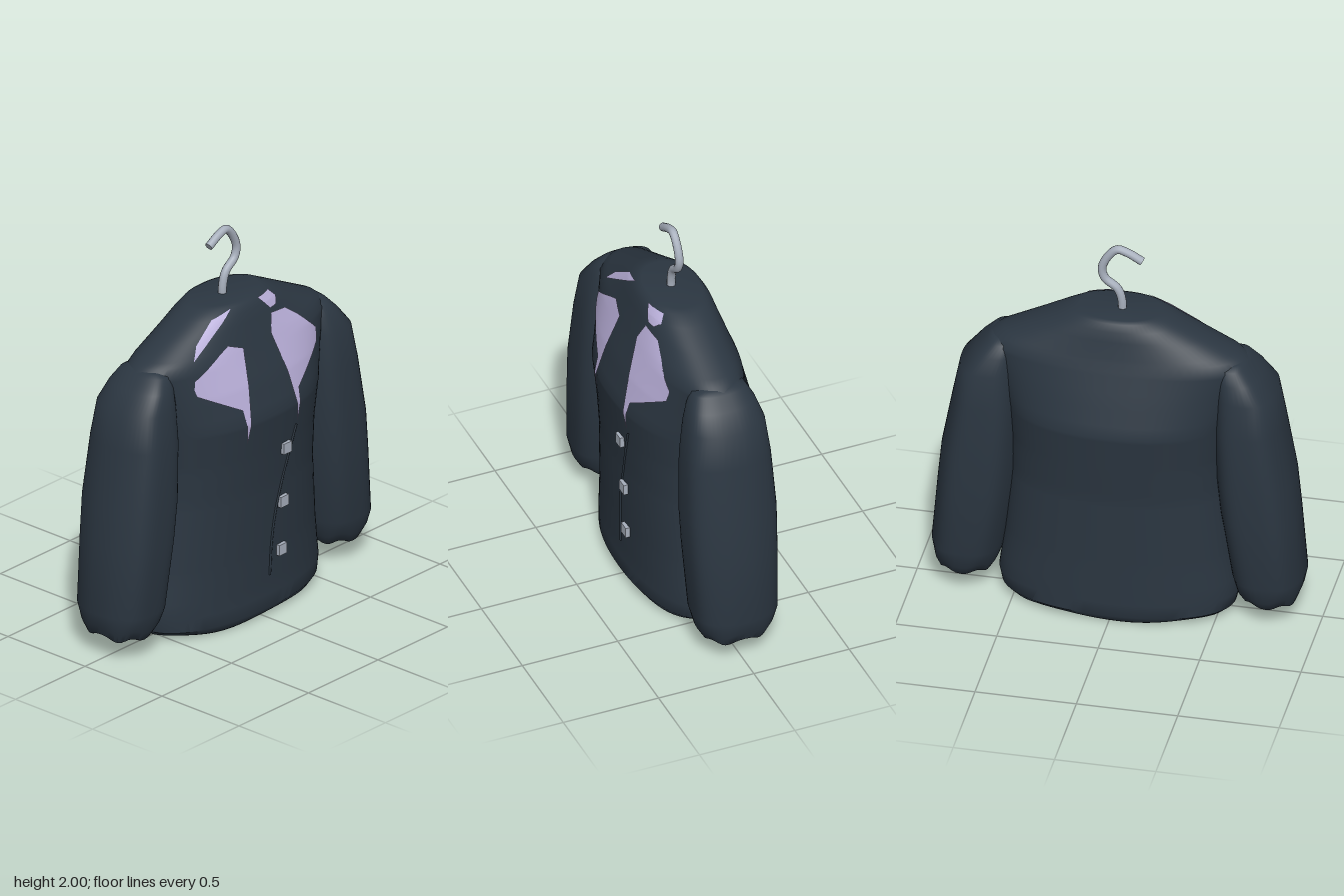
import * as THREE from 'three';
import { toCreasedNormals } from 'three/addons/utils/BufferGeometryUtils.js';

const mat = (name, color, side = THREE.FrontSide) => {
  const m = new THREE.MeshStandardMaterial({ color, side });
  m.name = name;
  return m;
};

// Interpolate the columns of a table whose first column is height
function sample(table, y) {
  if (y <= table[0][0]) return table[0];
  for (let i = 1; i < table.length; i++) {
    const a = table[i - 1], b = table[i];
    if (y <= b[0]) return a.map((v, k) => v + (b[k] - v) * (y - a[0]) / (b[0] - a[0]));
  }
  return table[table.length - 1];
}

// Skin a list of closed rings, each a function of angle, from bottom to top
function loft(rings, n, crease) {
  const pos = [], idx = [];
  rings.forEach((ring, i) => {
    for (let j = 0; j < n; j++) {
      pos.push(...ring(j / n * Math.PI * 2));
      if (i === rings.length - 1) continue;
      const a = i * n + j, b = i * n + (j + 1) % n;
      idx.push(a, a + n, b, b, a + n, b + n);
    }
  });
  const g = new THREE.BufferGeometry();
  g.setAttribute('position', new THREE.Float32BufferAttribute(pos, 3));
  g.setIndex(idx);
  return toCreasedNormals(g, crease);
}

// Torso: height, half width, front depth, back depth
const TORSO = [
  [0.01, 0.53, 0.26, 0.26], [0.05, 0.575, 0.28, 0.285], [0.12, 0.59, 0.275, 0.285],
  [0.35, 0.56, 0.28, 0.285], [0.7, 0.53, 0.295, 0.29], [0.9, 0.53, 0.312, 0.312],
  [1.1, 0.55, 0.333, 0.333], [1.28, 0.6, 0.285, 0.277], [1.42, 0.655, 0.235, 0.23],
  [1.46, 0.61, 0.222, 0.215], [1.54, 0.45, 0.195, 0.19], [1.61, 0.31, 0.172, 0.17],
  [1.645, 0.24, 0.15, 0.15], [1.655, 0.2, 0.13, 0.13],
];
const P = 2.2;
const frontZ = (x, y) => {
  const [, w, f] = sample(TORSO, y);
  return f * Math.pow(Math.max(0, 1 - Math.pow(Math.abs(x) / w, P)), 1 / P);
};
const spow = (v, e) => Math.sign(v) * Math.pow(Math.abs(v), e);

function torsoGeometry() {
  const ring = (y, s = 1, wave = 0) => t => {
    const [, w, f, b] = sample(TORSO, y);
    const sn = Math.sin(t);
    return [s * w * spow(Math.cos(t), 2 / P), y + wave * (1 + Math.sin(5 * t + 0.8)),
      s * (sn > 0 ? f : b) * spow(sn, 2 / P)];
  };
  const rings = [ring(0.04, 0.001), ring(0.03, 0.85), ring(0.002, 0.96, 0.006), ring(0.012, 1, 0.006)];
  const heights = new Set(TORSO.map(r => r[0]).slice(1));
  for (let y = 0.2; y < 1.64; y += 0.08) heights.add(y);
  [...heights].sort((a, b) => a - b).forEach(y => rings.push(ring(y)));
  rings.push(ring(1.65, 0.001));
  return loft(rings, 72, 0.7);
}

// Sleeve: height, inner x, outer x, half depth
const SLEEVE = [
  [0.12, 0.615, 0.885, 0.165], [0.17, 0.585, 0.905, 0.195], [0.25, 0.56, 0.92, 0.215],
  [0.6, 0.505, 0.89, 0.23], [0.8, 0.485, 0.87, 0.235], [1.1, 0.475, 0.815, 0.222],
  [1.28, 0.48, 0.78, 0.2], [1.37, 0.485, 0.705, 0.17], [1.43, 0.49, 0.645, 0.135],
];
function sleeveGeometry(side) {
  const ring = (y, s = 1, wave = 0, lift = 0) => angle => {
    const t = side > 0 ? angle : Math.PI - angle;   // keeps the winding on the mirrored side
    const [, xi, xo, d] = sample(SLEEVE, y);
    const fold = 1 - 0.03 * (1 - Math.cos(6 * t)) * Math.min(1, (1.5 - y) * 2) / 2;
    const x = (xi + xo) / 2 + s * (xo - xi) / 2 * spow(Math.cos(t), 0.8) * fold;
    return [side * x, y + lift + wave * Math.cos(6 * t), s * d * spow(Math.sin(t), 0.8) * fold];
  };
  // mirrored angles already reverse x, so both sides share one winding
  const rings = [ring(0.12, 0.001, 0, 0.06), ring(0.12, 0.8, 0.01, 0.03), ring(0.12, 0.94, 0.012, -0.003)];
  SLEEVE.forEach(r => rings.push(ring(r[0], 1, r[0] < 0.2 ? 0.012 : 0)));
  rings.push(ring(1.43, 0.7, 0, 0.018), ring(1.43, 0.001, 0, 0.025));
  return loft(rings, 48, 0.8);
}

// Thin patch draped over the front of the torso
function patchGeometry(points) {
  const flat = new THREE.ShapeGeometry(new THREE.Shape(points.map(p => new THREE.Vector2(...p)))).toNonIndexed();
  const p = flat.attributes.position, out = [];
  const split = (a, b, c, level) => {
    if (!level) {
      for (const v of [a, b, c]) out.push(v.x, v.y, frontZ(v.x, v.y) + 0.007);
      return;
    }
    const mid = (u, v) => u.clone().lerp(v, 0.5);
    const ab = mid(a, b), bc = mid(b, c), ca = mid(c, a);
    [[a, ab, ca], [ab, b, bc], [ca, bc, c], [ab, bc, ca]].forEach(tri => split(...tri, level - 1));
  };
  for (let i = 0; i < p.count; i += 3) {
    split(...[0, 1, 2].map(k => new THREE.Vector3().fromBufferAttribute(p, i + k)), 4);
  }
  const g = new THREE.BufferGeometry();
  g.setAttribute('position', new THREE.Float32BufferAttribute(out, 3));
  return toCreasedNormals(g, 0.7);
}

const PATCHES = {
  rightLapel: [[-0.44, 1.34], [-0.43, 1.385], [-0.26, 1.47], [-0.2, 1.495], [-0.11, 1.46],
    [-0.125, 1.36], [-0.15, 1.2], [-0.18, 1.0], [-0.2, 1.18], [-0.43, 1.305]],
  leftLapel: [[0.09, 1.47], [0.125, 1.555], [0.24, 1.54], [0.32, 1.48], [0.44, 1.37],
    [0.43, 1.31], [0.2, 1.17], [0.18, 1.0], [0.14, 1.26]],
  rightCollar: [[-0.41, 1.47], [-0.36, 1.53], [-0.23, 1.615], [-0.11, 1.645], [-0.2, 1.59], [-0.32, 1.52]],
  leftCollar: [[0.07, 1.643], [0.18, 1.64], [0.21, 1.605], [0.18, 1.575], [0.13, 1.575]],
};

export function createModel() {
  const model = new THREE.Group();
  const cloth = mat('darkCloth', 0x2b3641);
  const lilac = mat('lilacLining', 0xb9afd9, THREE.DoubleSide);
  const metal = mat('paleMetal', 0xa6aebb);
  const add = (name, geometry, material) => {
    const mesh = new THREE.Mesh(geometry, material);
    mesh.name = name;
    model.add(mesh);
    return mesh;
  };
  const curve = pts => new THREE.CatmullRomCurve3(pts.map(p => new THREE.Vector3(...p)));

  add('jacketBody', torsoGeometry(), cloth);
  add('leftSleeve', sleeveGeometry(1), cloth);
  add('rightSleeve', sleeveGeometry(-1), cloth);
  for (const [name, points] of Object.entries(PATCHES)) add(name, patchGeometry(points), lilac);

  // Overlapping front edge
  const edge = [[0.18, 0.98], [0.14, 0.86], [0.09, 0.7], [0.05, 0.55], [0.03, 0.4], [0.022, 0.22]];
  add('frontEdge', new THREE.TubeGeometry(curve(edge.map(([x, y]) => [x, y, frontZ(x, y)])), 30, 0.007, 6), cloth);

  // Square buttons
  for (const y of [0.885, 0.595, 0.335]) {
    add('button', new THREE.BoxGeometry(0.056, 0.056, 0.03), metal).position.set(0.098, y, frontZ(0.098, y) + 0.005);
  }

  // Hanger hook with closed tip
  const hook = [[-0.01, 1.58, 0], [-0.01, 1.69, 0], [0.012, 1.755, 0], [0.075, 1.81, 0], [0.088, 1.865, 0],
    [0.055, 1.94, 0], [0.012, 1.979, 0], [-0.04, 1.966, 0], [-0.105, 1.93, 0]];
  add('hangerHook', new THREE.TubeGeometry(curve(hook), 60, 0.021, 12), metal);
  const tip = add('hookTip', new THREE.CylinderGeometry(0.021, 0.021, 0.012, 12), metal);
  tip.position.set(...hook[hook.length - 1]);
  tip.rotation.z = Math.PI / 2 + 0.5;
  return model;
}
